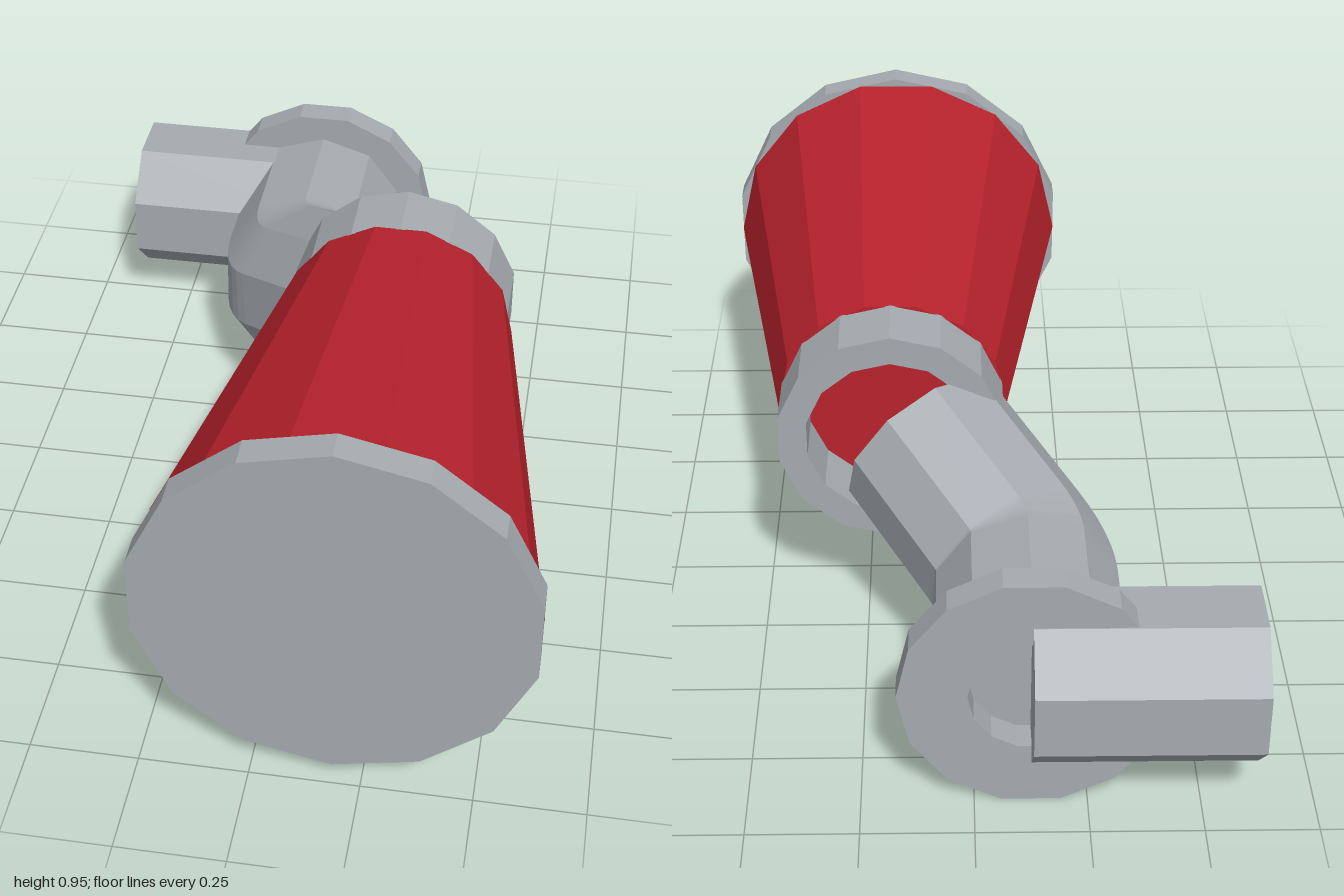
import * as THREE from 'three';

export function createModel() {
  const model = new THREE.Group();
  const metal = new THREE.MeshStandardMaterial({ color: 0xa5abb0, flatShading: true });
  metal.name = 'greyMetal';
  const red = new THREE.MeshStandardMaterial({ color: 0xb8222d, flatShading: true });
  red.name = 'redPaint';

  function add(name, geometry, material, x = 0, y = 0, z = 0) {
    const mesh = new THREE.Mesh(geometry, material);
    mesh.name = name;
    mesh.position.set(x, y, z);
    model.add(mesh);
  }

  // Flat ring with a hole, its axis along z
  function ring(outer, inner, depth, turn = 0) {
    const h = depth / 2;
    const profile = [[inner, -h], [outer, -h], [outer, h], [inner, h], [inner, -h]]
      .map(([r, y]) => new THREE.Vector2(r, y));
    return new THREE.LatheGeometry(profile, 14).rotateY(turn).rotateX(Math.PI / 2);
  }

  // Horn: front lid, tapered body and rear collar
  const hornX = 0.186, hornY = 0.506;
  add('frontLid', new THREE.CylinderGeometry(0.445, 0.445, 0.07, 14).rotateX(Math.PI / 2),
    metal, hornX, hornY, 0.965);
  add('hornBody', new THREE.CylinderGeometry(0.435, 0.277, 0.97, 14).rotateY(Math.PI / 14).rotateX(Math.PI / 2),
    red, hornX, hornY, 0.445);
  add('rearCollar', ring(0.273, 0.205, 0.16), metal, hornX, hornY, -0.117);

  // Bent pipe: ten-sided section swept straight, around an elbow, then straight
  const sides = 10, radius = 0.217, bendRadius = 0.22, bend = 0.764, steps = 6;
  const sideways = new THREE.Vector3(0.804, 0.595, 0);
  const axis = new THREE.Vector3(-0.595, 0.804, 0);
  const start = new THREE.Vector3(-0.125, 0.2925, -0.82);
  const elbow = start.clone().setZ(-0.53);
  const sections = [[start, 0]];
  for (let i = 0; i <= steps; i++) {
    const a = bend * i / steps;
    const centre = elbow.clone().addScaledVector(sideways, bendRadius * (1 - Math.cos(a)));
    centre.z += bendRadius * Math.sin(a);
    sections.push([centre, a]);
  }
  const direction = new THREE.Vector3(0, 0, 1).applyAxisAngle(axis, bend);
  sections.push([sections[steps + 1][0].clone().addScaledVector(direction, 0.335), bend]);

  const points = [], faces = [];
  for (const [centre, angle] of sections) {
    for (let j = 0; j < sides; j++) {
      const t = j / sides * Math.PI * 2;
      const p = new THREE.Vector3(radius * Math.sin(t), radius * Math.cos(t), 0)
        .applyAxisAngle(axis, angle).add(centre);
      points.push(p.x, p.y, p.z);
    }
  }
  const last = (sections.length - 1) * sides;
  for (let i = 0; i < last; i += sides) {
    for (let j = 0; j < sides; j++) {
      const k = (j + 1) % sides;
      const a = i + j, b = i + k, c = a + sides, d = b + sides;
      faces.push(a, c, b, b, c, d);
    }
  }
  for (let j = 1; j < sides - 1; j++) {
    faces.push(0, j, j + 1, last, last + j + 1, last + j);
  }
  const pipe = new THREE.BufferGeometry();
  pipe.setAttribute('position', new THREE.Float32BufferAttribute(points, 3));
  pipe.setIndex(faces);
  const pipeFlat = pipe.toNonIndexed();
  pipeFlat.computeVertexNormals();
  add('bentPipe', pipeFlat, metal);

  // Flange behind the pipe and the crosswise stub
  add('flange', ring(0.294, 0.14, 0.07, Math.PI / 14), metal, -0.125, 0.2875, -0.856);
  add('sideStub', new THREE.CylinderGeometry(0.196, 0.196, 0.497, 8).rotateY(Math.PI / 8).rotateZ(Math.PI / 2),
    metal, -0.3735, 0.288, -0.819);

  return model;
}
